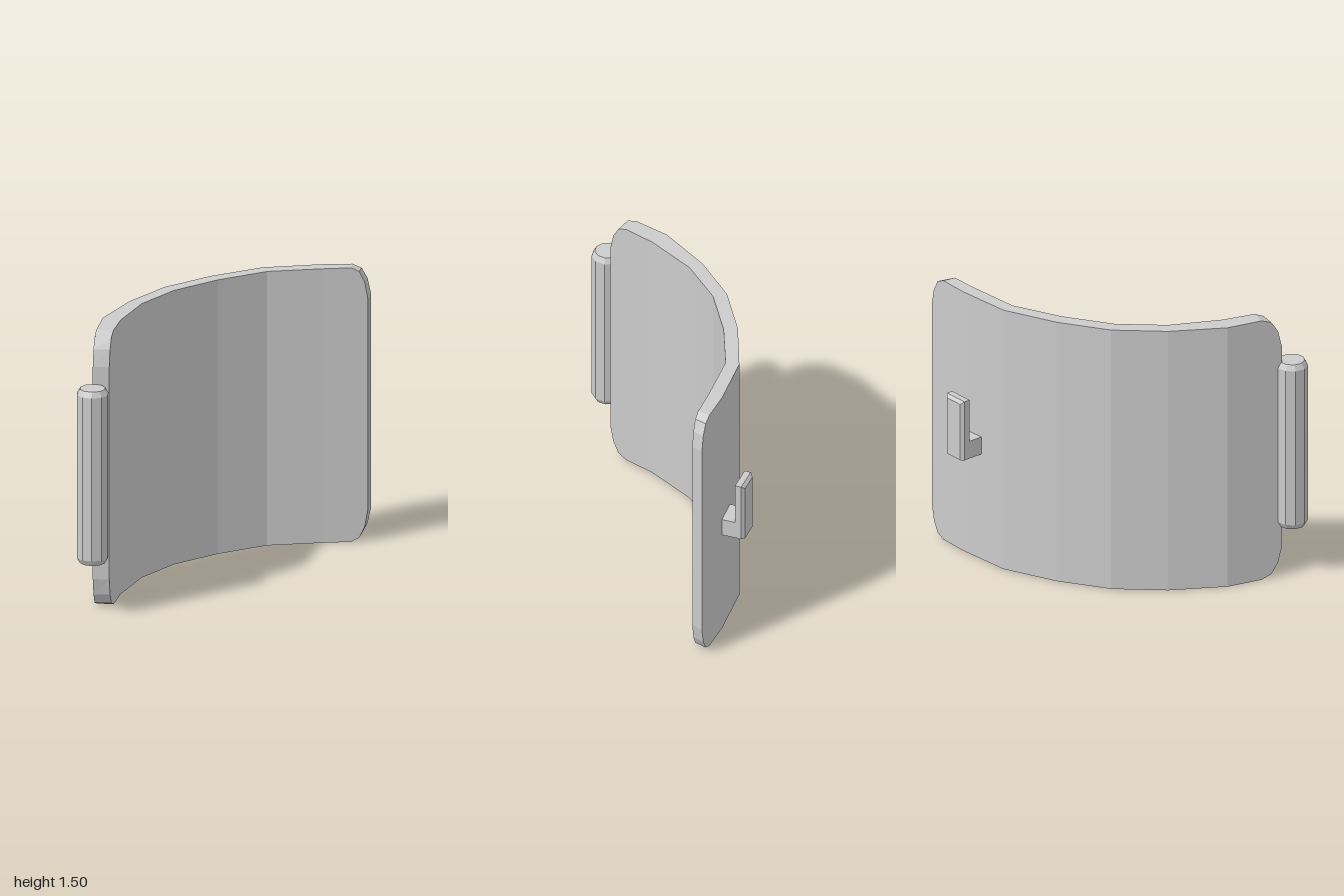
import * as THREE from 'three';

const HEIGHT = 1.505;

function material() {
  return new THREE.MeshStandardMaterial({ color: 0xcccccc, flatShading: true });
}

function addMesh(parent, name, geometry, x = 0, y = 0, z = 0) {
  const mesh = new THREE.Mesh(geometry, material());
  mesh.name = name;
  mesh.position.set(x, y, z);
  parent.add(mesh);
  return mesh;
}

// Bent plate: plan stations [backX, backZ, frontX, frontZ] lofted from one end to the other
function panelGeometry() {
  const plan = [
    [-0.88, 0.2, -0.81, 0.25], [-0.67, -0.03, -0.61, 0.05], [-0.4, -0.19, -0.37, -0.12],
    [-0.12, -0.29, -0.11, -0.215], [0.18, -0.315, 0.18, -0.24], [0.49, -0.29, 0.47, -0.22],
    [0.77, -0.17, 0.74, -0.1], [1.0, -0.04, 0.95, 0.005],
  ];
  // Rounded corners: [fraction of end segment, vertical inset]
  const corner = [[0, 0.17], [0.07, 0.08], [0.19, 0.022], [0.37, 0]];
  const mix = (a, b, t) => a.map((v, i) => v + (b[i] - v) * t);
  const last = plan.length - 1;
  const stations = [
    ...corner.map(([t, inset]) => [mix(plan[0], plan[1], t), inset]),
    ...plan.slice(1, last).map((p) => [p, 0]),
    ...corner.map(([t, inset]) => [mix(plan[last], plan[last - 1], t), inset]).reverse(),
  ];
  const positions = [];
  for (const [[bx, bz, fx, fz], inset] of stations) {
    const top = HEIGHT - inset;
    positions.push(bx, inset, bz, bx, top, bz, fx, top, fz, fx, inset, fz);
  }
  const index = [];
  const quad = (a, b, c, d) => index.push(a, b, c, a, c, d);
  const end = (stations.length - 1) * 4;
  for (let s = 0; s < end; s += 4) {
    for (let k = 0; k < 4; k++) {
      const n = (k + 1) % 4;
      quad(s + k, s + n, s + 4 + n, s + 4 + k);
    }
  }
  quad(0, 3, 2, 1);
  quad(end, end + 1, end + 2, end + 3);
  const geometry = new THREE.BufferGeometry();
  geometry.setAttribute('position', new THREE.Float32BufferAttribute(positions, 3));
  geometry.setIndex(index);
  const flat = geometry.toNonIndexed();
  flat.computeVertexNormals();
  return flat;
}

// Ten-sided pin with chamfered ends
function hingePinGeometry() {
  const profile = [[0, 0.285], [0.068, 0.285], [0.085, 0.315], [0.085, 1.21], [0.068, 1.24], [0, 1.24]];
  return new THREE.LatheGeometry(profile.map(([r, y]) => new THREE.Vector2(r, y)), 10);
}

// Box whose outer (-z) face is drawn in to leave a chamfer
function chamferedPlate(w, h, d, chamfer) {
  const geometry = new THREE.BoxGeometry(w, h, d, 1, 1, 2);
  const p = geometry.attributes.position;
  for (let i = 0; i < p.count; i++) {
    if (Math.abs(p.getZ(i)) < 1e-6) p.setZ(i, -d / 2 + chamfer);
    else if (p.getZ(i) < 0) {
      p.setX(i, p.getX(i) - Math.sign(p.getX(i)) * chamfer);
      if (p.getY(i) > 0) p.setY(i, p.getY(i) - chamfer);
    }
  }
  geometry.computeVertexNormals();
  return geometry;
}

export function createModel() {
  const model = new THREE.Group();
  model.name = 'curvedDoor';
  addMesh(model, 'curvedPanel', panelGeometry());
  addMesh(model, 'hingePin', hingePinGeometry(), -0.915, 0, 0.253);

  // L-shaped latch hook standing square to the back of the panel
  const hook = new THREE.Group();
  hook.name = 'latchHook';
  hook.position.set(0.705, 0, -0.195);
  hook.rotation.y = -0.47;
  addMesh(hook, 'hookStem', new THREE.BoxGeometry(0.14, 0.1, 0.11), 0, 0.66, -0.03);
  addMesh(hook, 'hookPlate', chamferedPlate(0.14, 0.34, 0.05, 0.016), 0, 0.78, -0.105);
  model.add(hook);
  return model;
}
